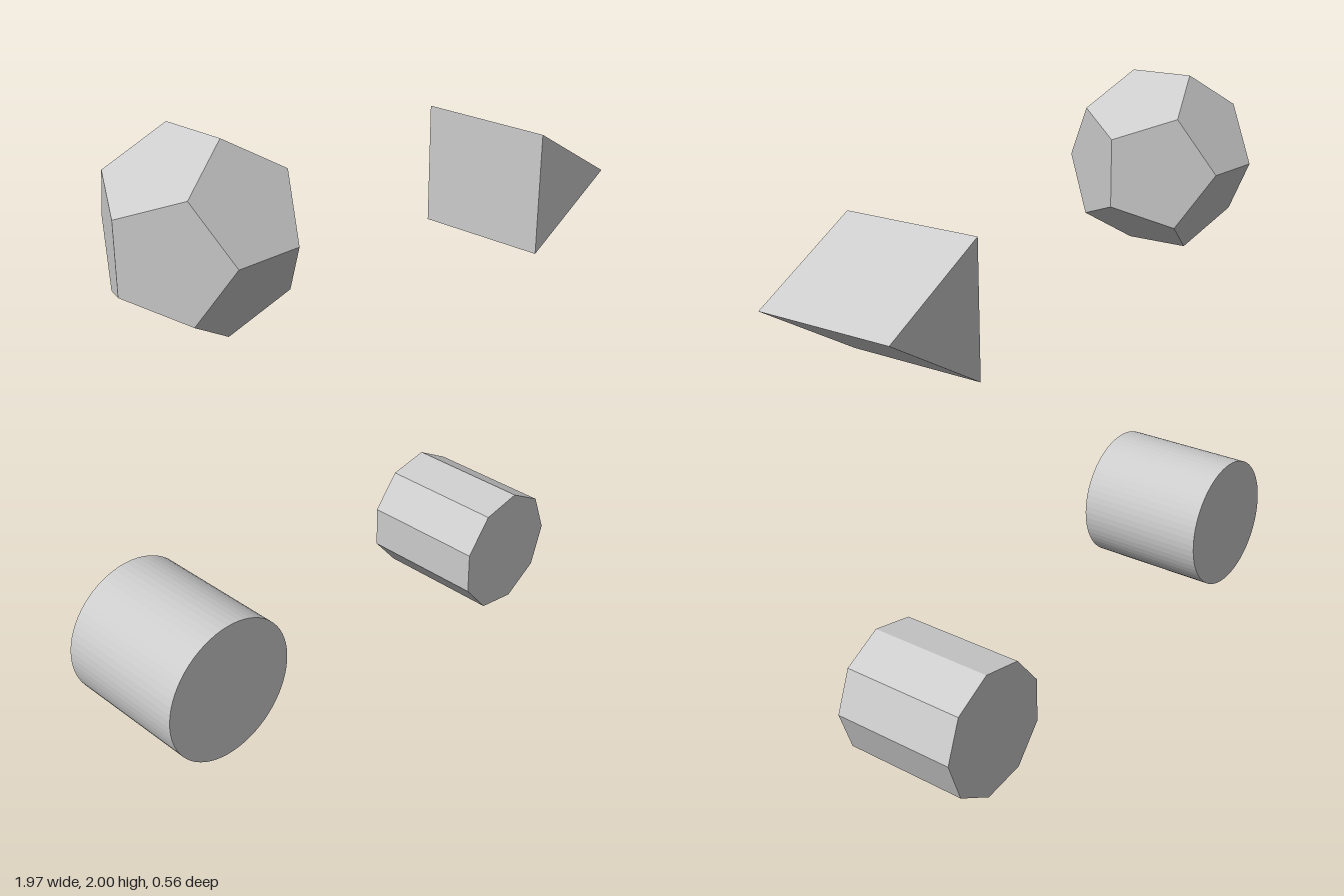
import * as THREE from 'three';

const material = new THREE.MeshStandardMaterial({ color: 0xcccccc, flatShading: true });

// Regular prism lying along z, with one corner pointing to +x
function prism(name, sides, radius, depth, x, y) {
  const geometry = new THREE.CylinderGeometry(radius, radius, depth, sides, 1, false, Math.PI / 2);
  geometry.rotateX(Math.PI / 2);
  const mesh = new THREE.Mesh(geometry, material);
  mesh.name = name;
  mesh.position.set(x, y, 0);
  return mesh;
}

export function createModel() {
  const model = new THREE.Group();
  model.name = 'solids';

  // Upper left: dodecahedron with a ridge along z at the top
  const dodecahedron = new THREE.Mesh(new THREE.DodecahedronGeometry(0.3).rotateY(Math.PI / 2), material);
  dodecahedron.name = 'dodecahedron';
  dodecahedron.position.set(-0.59, 1.72, 0);
  model.add(dodecahedron);

  // Remaining solids are prisms of different side counts
  model.add(
    prism('triangularPrism', 3, 0.231, 0.462, 0.75, 1.557),
    prism('nineSidedPrism', 9, 0.22, 0.44, 0.585, 0.217),
    prism('cylinder', 64, 0.233, 0.466, -0.753, 0.382),
  );
  return model;
}
